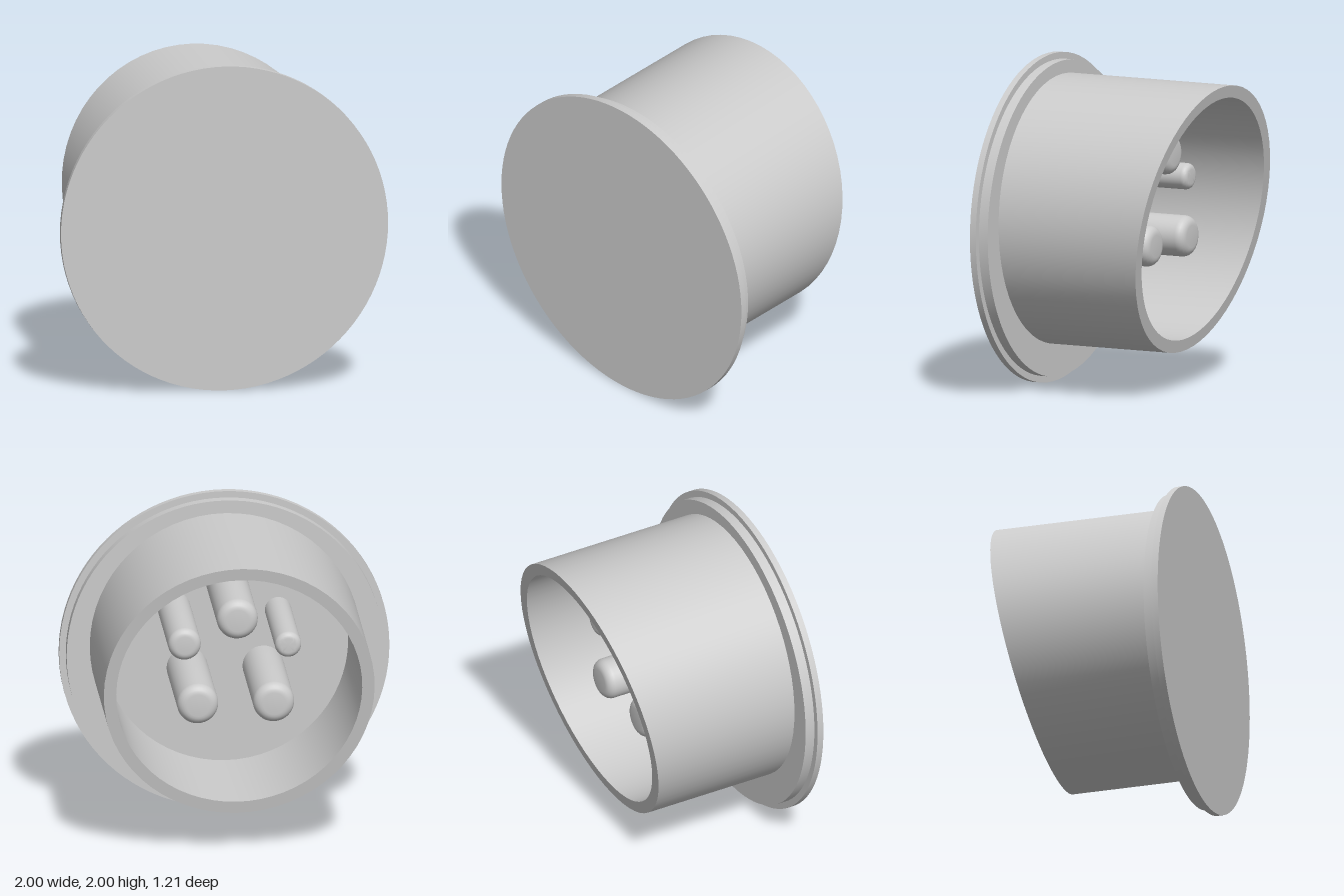
import * as THREE from 'three';
import { toCreasedNormals } from 'three/addons/utils/BufferGeometryUtils.js';

const material = new THREE.MeshStandardMaterial({ color: 0xcccccc });
const AXIS_Y = 1.06; // height of the barrel axis
const FLOOR = -0.505; // back face of the flange, as depth along -z

// Turns a [radius, depth] profile around the z axis; depth runs towards the back (-z).
function turned(profile, segments) {
  const points = profile.map(([r, d]) => new THREE.Vector2(r, d));
  return new THREE.LatheGeometry(points, segments).rotateX(-Math.PI / 2);
}

function addPart(group, name, geometry, x, y, crease = 0.6) {
  const mesh = new THREE.Mesh(toCreasedNormals(geometry, crease), material);
  mesh.name = name;
  mesh.position.set(x, y, 0);
  group.add(mesh);
}

// Hollow barrel whose open end is cut by a slanted plane
function barrelGeometry() {
  const geometry = turned([[0.82, FLOOR], [0.82, 0.455], [0.745, 0.455], [0.745, FLOOR]], 64);
  const p = geometry.attributes.position;
  for (let i = 0; i < p.count; i++) {
    if (p.getZ(i) < 0) p.setZ(i, p.getZ(i) - 0.183 * p.getY(i));
  }
  return geometry;
}

// Round pin with a softened tip
function pinGeometry(radius, tip) {
  const fillet = radius * 0.45;
  const profile = [[radius, FLOOR]];
  for (let i = 0; i <= 6; i++) {
    const a = (i / 6) * Math.PI / 2;
    profile.push([radius - fillet + fillet * Math.cos(a), tip - fillet + fillet * Math.sin(a)]);
  }
  profile.push([0, tip]);
  return turned(profile, 32);
}

export function createModel() {
  const group = new THREE.Group();
  group.name = 'pinConnector';

  // Stepped disc at the front
  addPart(group, 'flange', turned([
    [0, -0.605], [1, -0.605], [1, -0.565], [0.96, -0.565], [0.96, FLOOR], [0, FLOOR],
  ], 96), 0, 1);

  addPart(group, 'barrel', barrelGeometry(), 0, AXIS_Y);

  // Contact pins: name, x, y, radius, tip depth
  const pins = [
    ['topPin', -0.01, 1.44, 0.125, 0.26],
    ['lowerLeftPin', 0.23, 0.91, 0.125, 0.26],
    ['lowerRightPin', -0.23, 0.91, 0.125, 0.26],
    ['sideLeftPin', 0.31, 1.29, 0.1, 0.25],
    ['sideRightPin', -0.32, 1.26, 0.08, 0.21],
  ];
  for (const [name, x, y, radius, tip] of pins) {
    addPart(group, name, pinGeometry(radius, tip), x, y);
  }
  return group;
}
